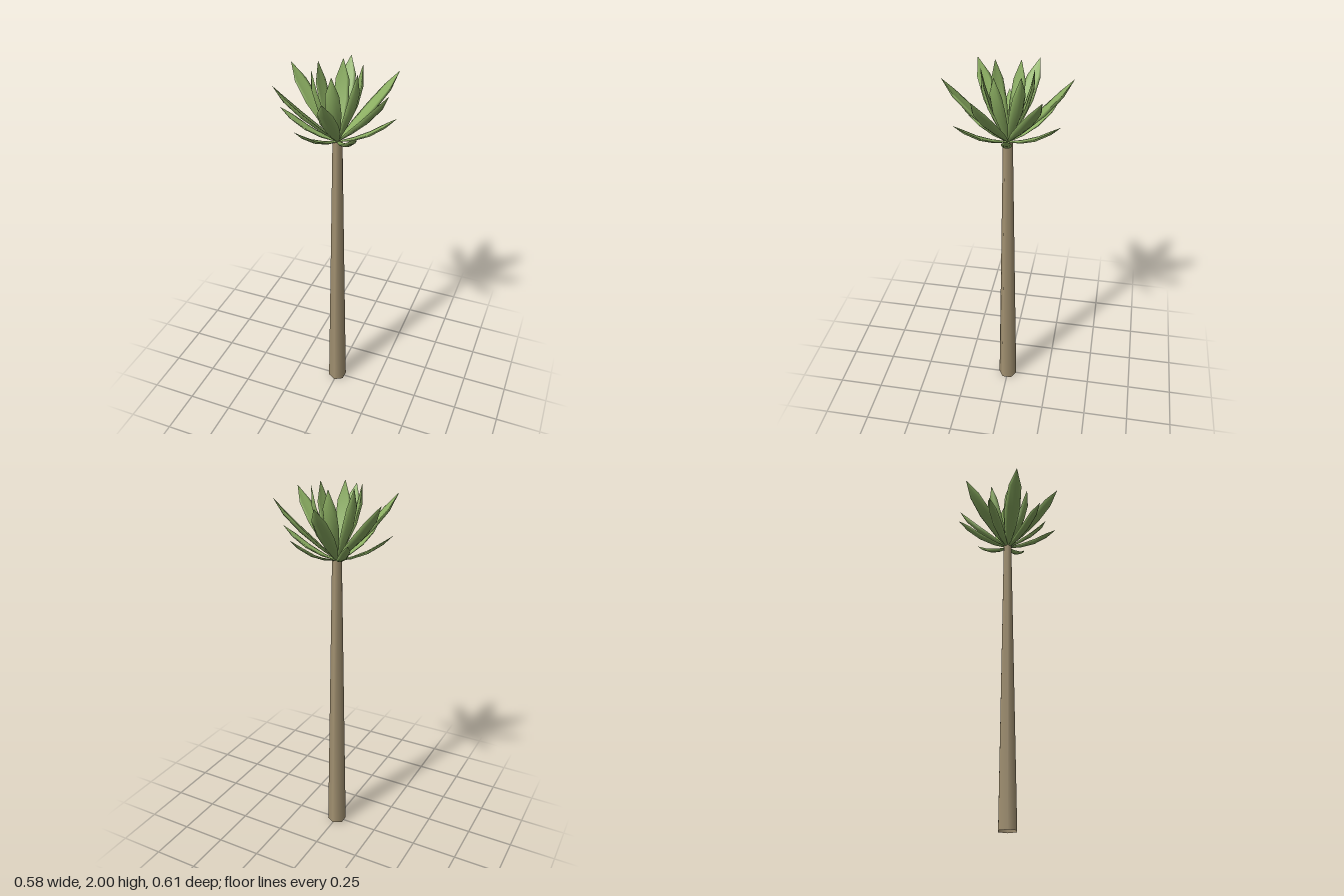
import * as THREE from 'three';

const leafGreen = new THREE.MeshStandardMaterial({ color: 0x8db063 });
leafGreen.name = 'leaf green';
const barkBrown = new THREE.MeshStandardMaterial({ color: 0xa39272, side: THREE.DoubleSide });
barkBrown.name = 'bark brown';

// Leaf section in half widths: slightly hollow upper face, rounded underside
const SECTION = [
  [-1, 0.2], [-0.6, 0.2], [0, 0.13], [0.6, 0.2],
  [1, 0.2], [0.6, -0.2], [0, -0.3], [-0.6, -0.2],
];

// Solid leaf along +x; each station is [radius, height, half width]
function leafGeometry(stations) {
  const positions = [];
  const index = [];
  const n = SECTION.length;
  stations.forEach(([r, y, w], i) => {
    const a = stations[Math.max(i - 1, 0)];
    const b = stations[Math.min(i + 1, stations.length - 1)];
    const len = Math.hypot(b[0] - a[0], b[1] - a[1]);
    const tx = (b[0] - a[0]) / len;
    const ty = (b[1] - a[1]) / len;
    for (const [s, v] of SECTION) {
      positions.push(r - ty * v * w, y + tx * v * w, s * w);
    }
  });
  for (let i = 0; i < stations.length - 1; i++) {
    for (let j = 0; j < n; j++) {
      const p = i * n + j;
      const q = i * n + (j + 1) % n;
      index.push(p, q, p + n, q, q + n, p + n);
    }
  }
  const geometry = new THREE.BufferGeometry();
  geometry.setAttribute('position', new THREE.Float32BufferAttribute(positions, 3));
  geometry.setIndex(index);
  geometry.computeVertexNormals();
  return geometry;
}

// Ring of six equal leaves, first one turned from +x towards +z
function leafRing(name, stations, degrees) {
  const ring = new THREE.Group();
  ring.name = name + 'Leaves';
  const geometry = leafGeometry(stations);
  for (let i = 0; i < 6; i++) {
    const leaf = new THREE.Mesh(geometry, leafGreen);
    leaf.name = name + 'Leaf';
    leaf.rotation.y = -THREE.MathUtils.degToRad(degrees + i * 60);
    ring.add(leaf);
  }
  return ring;
}

export function createModel() {
  const tree = new THREE.Group();
  tree.name = 'tree';

  // Tapered six-sided trunk, open at both ends
  const trunk = new THREE.Mesh(new THREE.CylinderGeometry(0.025, 0.053, 1.625, 6, 1, true), barkBrown);
  trunk.name = 'trunk';
  trunk.position.y = 1.625 / 2;
  tree.add(trunk);

  // Crown: low narrow leaves, broad middle leaves, upright inner leaves
  tree.add(leafRing('lower', [
    [0, 1.618, 0.005], [0.08, 1.64, 0.019], [0.16, 1.676, 0.026],
    [0.235, 1.727, 0.023], [0.288, 1.771, 0.001],
  ], -8));
  tree.add(leafRing('middle', [
    [0, 1.618, 0.007], [0.09, 1.7, 0.034], [0.175, 1.78, 0.045],
    [0.255, 1.868, 0.037], [0.31, 1.945, 0.001],
  ], 21.5));
  tree.add(leafRing('inner', [
    [0, 1.618, 0.007], [0.045, 1.71, 0.026], [0.088, 1.805, 0.038],
    [0.115, 1.9, 0.034], [0.125, 1.995, 0.001],
  ], 21.5));

  return tree;
}
